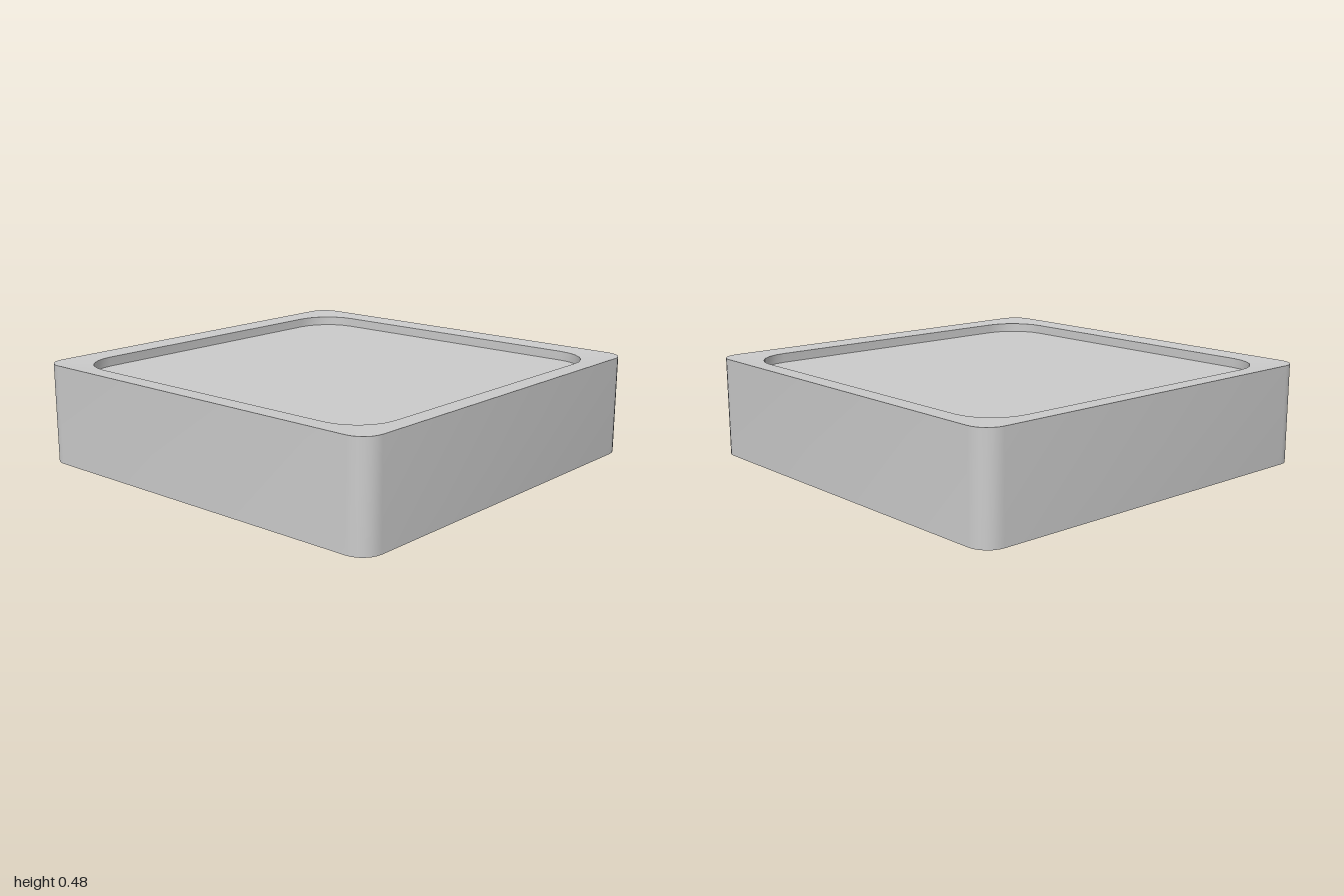
import * as THREE from 'three';
import { toCreasedNormals } from 'three/addons/utils/BufferGeometryUtils.js';

const SEGMENTS = 6; // facets per rounded corner
const HALF_X = 1, HALF_Z = 0.993, HEIGHT = 0.484;

// Rounded rectangle, inset from the outer outline, at height y
function ring(inset, radius, y) {
  const hx = HALF_X - inset, hz = HALF_Z - inset, points = [];
  [[1, 1], [-1, 1], [-1, -1], [1, -1]].forEach(([sx, sz], corner) => {
    for (let i = 0; i <= SEGMENTS; i++) {
      const a = (corner + i / SEGMENTS) * Math.PI / 2;
      points.push([
        sx * (hx - radius) + radius * Math.cos(a), y,
        sz * (hz - radius) + radius * Math.sin(a),
      ]);
    }
  });
  return points;
}

// All points of a ring gathered at the centre, to close a flat panel
const centre = (y) => ring(0, 0, y).map(() => [0, y, 0]);

// Skin between two rings
function band(name, a, b, material) {
  const positions = [];
  for (let i = 0; i < a.length; i++) {
    const j = (i + 1) % a.length;
    positions.push(...a[i], ...b[i], ...a[j], ...a[j], ...b[i], ...b[j]);
  }
  const geometry = new THREE.BufferGeometry();
  geometry.setAttribute('position', new THREE.Float32BufferAttribute(positions, 3));
  const mesh = new THREE.Mesh(toCreasedNormals(geometry, 0.5), material);
  mesh.name = name;
  return mesh;
}

export function createModel() {
  const group = new THREE.Group();
  group.name = 'tray';
  const material = new THREE.MeshStandardMaterial({ color: 0xcccccc });

  // Underside recess: square-cornered, opening out through a chamfer
  const panelBelow = ring(0.1, 0, 0.145);
  const chamferTop = ring(0.1, 0, 0.085);
  // Outer body
  const base = ring(0, 0.1, 0);
  const top = ring(0, 0.1, HEIGHT);
  // Shallow top recess inside a rim that dips slightly inward
  const rimInner = ring(0.105, 0.2, HEIGHT - 0.007);
  const panelAbove = ring(0.105, 0.2, HEIGHT - 0.052);

  const parts = [
    ['undersidePanel', centre(0.145), panelBelow],
    ['undersideWall', panelBelow, chamferTop],
    ['undersideChamfer', chamferTop, base],
    ['outerWall', base, top],
    ['topRim', top, rimInner],
    ['recessWall', rimInner, panelAbove],
    ['recessFloor', panelAbove, centre(HEIGHT - 0.052)],
  ];
  for (const [name, a, b] of parts) group.add(band(name, a, b, material));
  return group;
}
